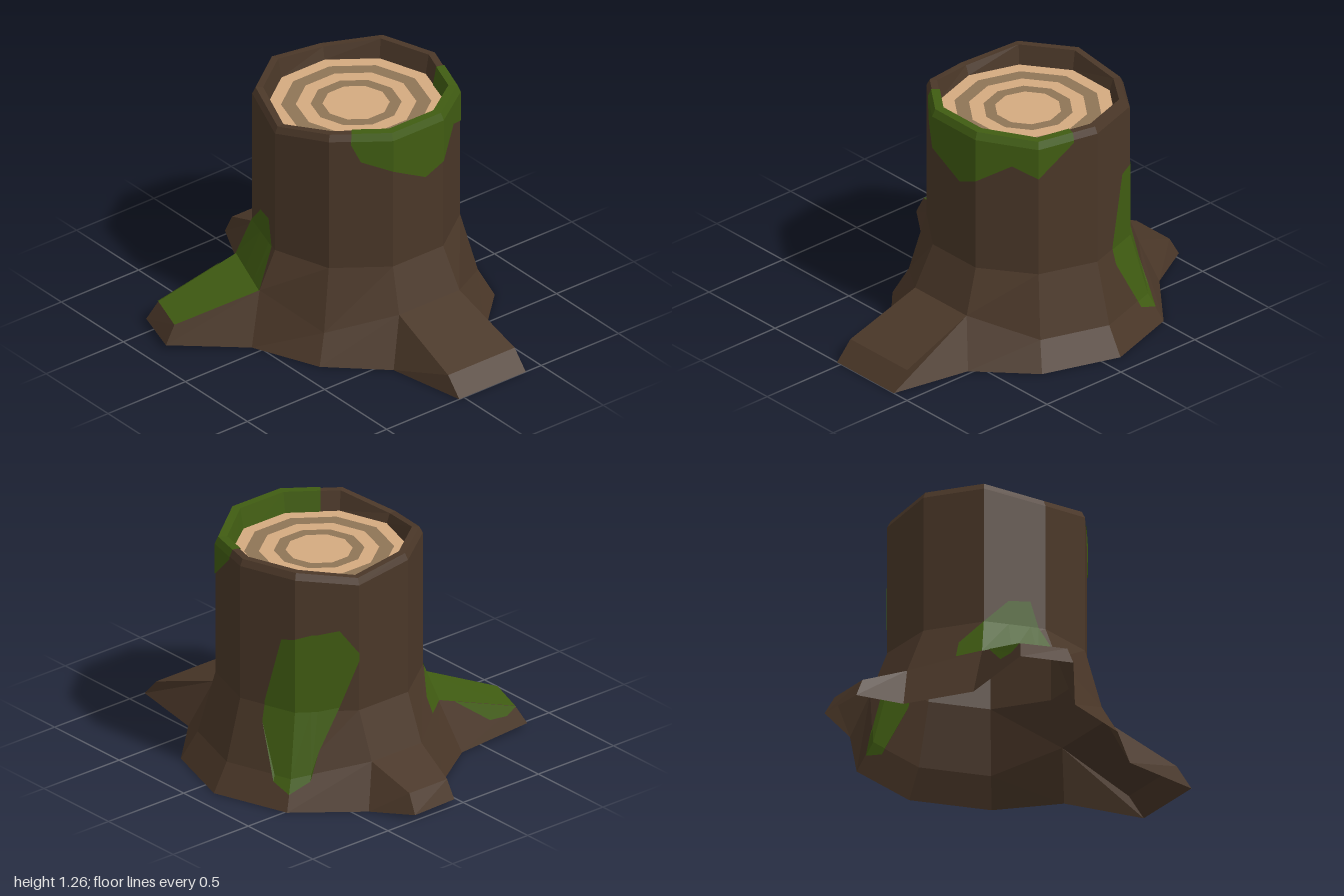
import * as THREE from 'three';

const V = (x, y, z) => new THREE.Vector3(x, y, z);
const CX = -0.1, CZ = -0.185, SIDES = 10;
const material = (color) => new THREE.MeshStandardMaterial({ color, flatShading: true, side: THREE.DoubleSide });
const bark = material(0x4a3728), moss = material(0x405c12);
const paleWood = material(0xd4aa80), darkWood = material(0x8f7556);

// Rim height at each corner, counted from the front towards +x
const rimTop = [1.2, 1.255, 1.255, 1.255, 1.235, 1.255, 1.255, 1.215, 1.255, 1.255];

// Roots: trunk side they grow from, top and ground corners at the trunk, then top and tip corners at the end
const roots = [
  { name: 'leftRoot', side: 2, top: [V(0.49, 0.25, 0.01), V(0.49, 0.25, -0.38)], base: [V(0.57, 0, 0.11), V(0.57, 0, -0.48)],
    end: [V(0.91, 0.1, 0.03), V(0.91, 0.1, -0.4)], tip: [V(1, 0, 0.03), V(1, 0, -0.4)] },
  { name: 'rightRoot', side: 7, top: [V(-0.7, 0.23, -0.35), V(-0.7, 0.23, -0.02)], base: [V(-0.77, 0, -0.43), V(-0.77, 0, 0.05)],
    end: [V(-0.945, 0.13, -0.31), V(-0.945, 0.13, -0.06)], tip: [V(-1, 0.03, -0.32), V(-0.99, 0.03, -0.05)] },
  { name: 'frontRoot', side: 9, top: [V(-0.46, 0.28, 0.3), V(-0.1, 0.28, 0.44)], base: [V(-0.56, 0, 0.37), V(-0.05, 0, 0.53)],
    end: [V(-0.53, 0.13, 0.75), V(-0.3, 0.13, 0.83)], tip: [V(-0.565, 0.03, 0.8), V(-0.3, 0.03, 0.885)] },
];

const outward = (u) => V(Math.sin(u * Math.PI / 5), 0, Math.cos(u * Math.PI / 5));

// Trunk corner k on profile row: ground, flare, flare top, rim edge, rim outside, rim inside, inner floor
function corner(k, row) {
  k %= SIDES;
  for (const r of roots) {
    for (let i = 0; i < 2; i++) {
      if ((r.side + i) % SIDES === k && row < 2) return (row ? r.top : r.base)[i].clone();
    }
  }
  const t = rimTop[k];
  const radius = [0.7, 0.615, 0.525, 0.525, 0.508, 0.47, 0.45][row];
  const y = [0, 0.15, 0.48, t - 0.035, t, t, 1.15][row];
  return outward(k).multiplyScalar(radius).add(V(CX, y, CZ));
}

// Point on the trunk at any fraction u between corners
const onRow = (u, row) => corner(Math.floor(u), row).lerp(corner(Math.floor(u) + 1, row), u % 1);

// Point on the outer wall at height y
function onWall(u, y) {
  for (let row = 0; row < 3; row++) {
    const a = onRow(u, row), b = onRow(u, row + 1);
    if (y <= b.y || row === 2) return a.lerp(b, (y - a.y) / (b.y - a.y));
  }
}

function meshOfQuads(name, quads, mat) {
  const points = quads.flatMap(([a, b, c, d]) => [a, b, c, a, c, d]);
  const geometry = new THREE.BufferGeometry().setFromPoints(points);
  geometry.computeVertexNormals();
  const mesh = new THREE.Mesh(geometry, mat);
  mesh.name = name;
  return mesh;
}

// Moss from columns [u, low, high]; overRim carries it over the rim and down the inside
function mossPatch(name, columns, overRim = false) {
  const group = new THREE.Group();
  group.name = name;
  for (const lift of [0.004, -0.004]) {
    const lines = columns.map(([u, low, high]) => {
      const hi = overRim ? onRow(u, 3).y : high;
      const clamp = (y) => Math.min(hi, Math.max(low, y));
      const out = outward(u).multiplyScalar(lift);
      const line = [low, clamp(onRow(u, 1).y), clamp(0.48), hi].map((y) => onWall(u, y).add(out));
      if (overRim && lift > 0) {
        const up = V(0, lift, 0);
        line.push(onRow(u, 4).add(out).add(up), onRow(u, 5).sub(out).add(up), onRow(u, 6).sub(out));
      }
      return line;
    });
    const quads = [];
    for (let i = 0; i + 1 < lines.length; i++) {
      for (let j = 0; j + 1 < lines[i].length; j++) {
        quads.push([lines[i][j], lines[i + 1][j], lines[i + 1][j + 1], lines[i][j + 1]]);
      }
    }
    group.add(meshOfQuads(name, quads, moss));
  }
  return group;
}

export function createModel() {
  const model = new THREE.Group();
  model.name = 'treeStump';

  // Trunk with flared foot and uneven hollow rim, open where the roots join
  const trunk = [];
  for (let k = 0; k < SIDES; k++) {
    for (let row = 0; row < 6; row++) {
      if (row === 0 && roots.some((r) => r.side === k)) continue;
      trunk.push([corner(k, row), corner(k + 1, row), corner(k + 1, row + 1), corner(k, row + 1)]);
    }
  }
  model.add(meshOfQuads('trunk', trunk, bark));

  // Roots, the front one with a mossy top
  for (const { name, top, base, end, tip } of roots) {
    const upper = [end[0], end[1], top[1], top[0]];
    const mossy = name === 'frontRoot';
    const faces = [
      [tip[0], tip[1], end[1], end[0]],
      [base[0], tip[0], end[0], top[0]],
      [tip[1], base[1], top[1], top[0].clone().copy(end[1])],
    ];
    faces[2] = [tip[1], base[1], top[1], end[1]];
    model.add(meshOfQuads(name, faces, bark), meshOfQuads(name + 'Top', [upper], mossy ? moss : bark));
  }

  // Moss hanging over the side of the front root
  const { top, end, base, tip } = roots[2];
  const side = V(-0.006, 0, 0);
  const sidePoint = (along, down) => top[0].clone().lerp(end[0], along)
    .lerp(base[0].clone().lerp(tip[0], along), down).add(side);
  model.add(meshOfQuads('rootSideMoss', [
    [sidePoint(0.2, 0), sidePoint(0.55, 0.5), sidePoint(0.8, 0.45), sidePoint(1, 0)],
  ], moss));

  // Moss on the trunk
  model.add(mossPatch('frontMoss', [[8.65, 0.27, 0.36], [9, 0.28, 0.48], [9.4, 0.28, 0.61],
    [9.75, 0.28, 0.62], [9.88, 0.28, 0.48], [9.999, 0.28, 0.3]]));
  model.add(mossPatch('rimMoss', [[1.35, 1.2], [1.5, 1.1], [2, 1.04], [2.64, 0.93], [3, 0.98],
    [3.58, 1.09], [4, 1.03], [4.6, 1.2]], true));
  model.add(mossPatch('backMoss', [[5.45, 0.4, 0.5], [5.75, 0.12, 0.87], [6, 0.08, 0.89], [6.25, 0.14, 0.91],
    [6.35, 0.28, 0.91], [6.69, 0.5, 0.93], [7, 0.76, 0.8]]));

  // Cut wood with growth rings
  const radii = [0.455, 0.38, 0.305, 0.23, 0.17, 0];
  for (let i = 0; i < 5; i++) {
    const ring = new THREE.Mesh(new THREE.RingGeometry(radii[i + 1], radii[i], SIDES, 1, Math.PI / 2),
      i % 2 ? darkWood : paleWood);
    ring.name = 'growthRing';
    ring.rotation.x = -Math.PI / 2;
    ring.position.set(CX, 1.15, CZ);
    model.add(ring);
  }
  return model;
}
